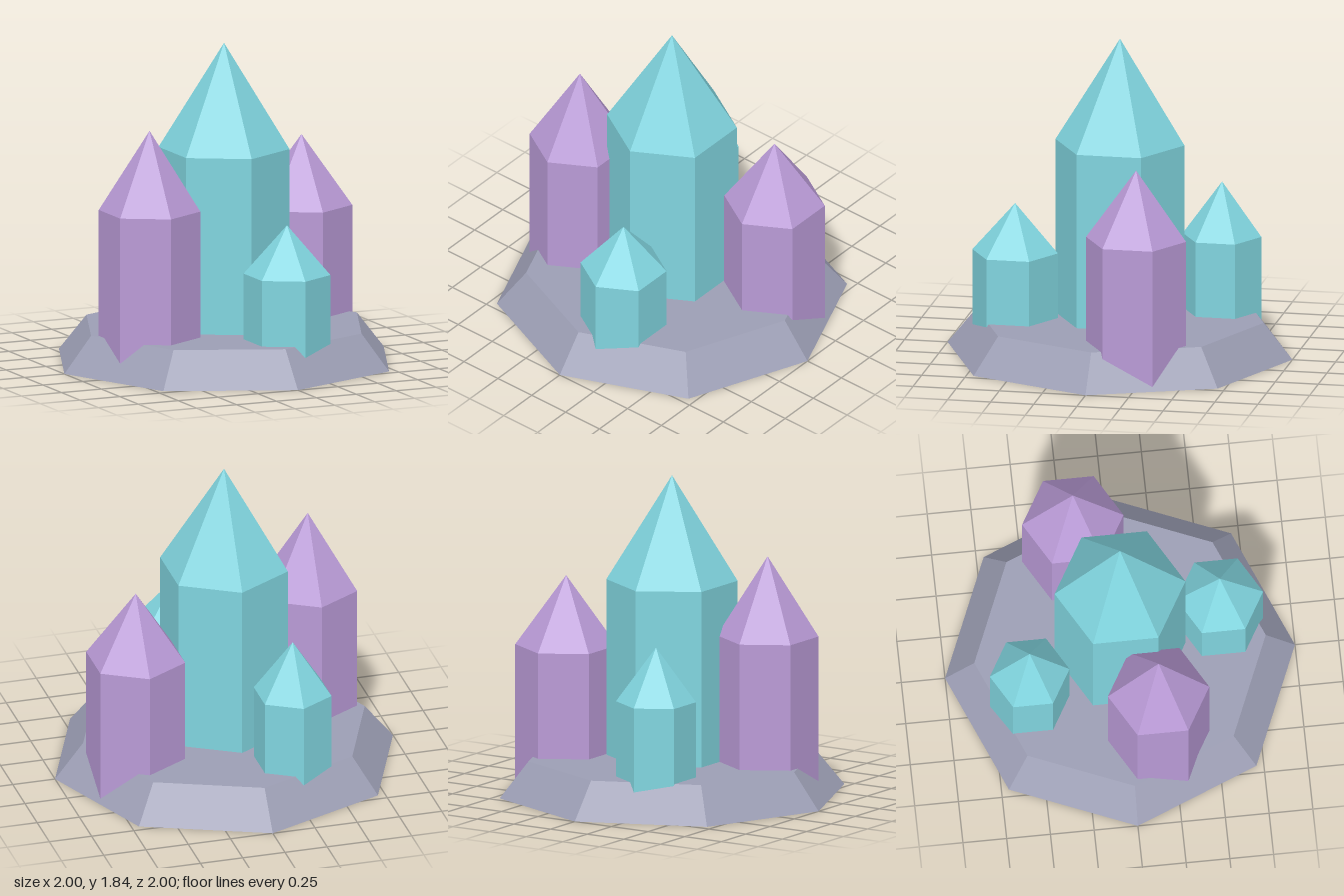
import * as THREE from 'three';

const material = (color) => new THREE.MeshStandardMaterial({ color, flatShading: true });

export function createModel() {
  const group = new THREE.Group();
  group.name = 'crystalCluster';
  const aqua = material(0x80d4de);
  const violet = material(0xb99ad6);
  const stone = material(0x9c9eb4);

  // Tapered octagonal rock base
  const baseHeight = 0.208;
  const base = new THREE.Mesh(new THREE.CylinderGeometry(0.833, 1, baseHeight, 8), stone);
  base.name = 'rockBase';
  base.position.y = baseHeight / 2;
  group.add(base);

  // Six-sided crystal: a straight shaft with a pointed tip, rooted in the base
  function addCrystal(name, x, z, radius, shaftTop, tipTop, mat) {
    const crystal = new THREE.Group();
    crystal.name = name;
    crystal.position.set(x, 0, z);
    const root = 0.004; // just above the underside of the base
    const shaft = new THREE.Mesh(
      new THREE.CylinderGeometry(radius, radius, shaftTop - root, 6, 1, true), mat);
    shaft.name = name + 'Shaft';
    shaft.position.y = (shaftTop + root) / 2;
    const tip = new THREE.Mesh(
      new THREE.ConeGeometry(radius, tipTop - shaftTop, 6, 1, true), mat);
    tip.name = name + 'Tip';
    tip.position.y = (shaftTop + tipTop) / 2;
    crystal.add(shaft, tip);
    group.add(crystal);
  }

  addCrystal('mainCrystal', 0, 0, 0.374, 1.228, 1.837, aqua);
  addCrystal('rightCrystal', -0.543, 0.165, 0.29, 0.937, 1.4, violet);
  addCrystal('leftCrystal', 0.583, -0.21, 0.29, 0.82, 1.225, violet);
  addCrystal('frontCrystal', 0.125, 0.583, 0.248, 0.588, 0.872, aqua);
  addCrystal('backCrystal', -0.25, -0.542, 0.228, 0.645, 0.96, aqua);

  return group;
}
